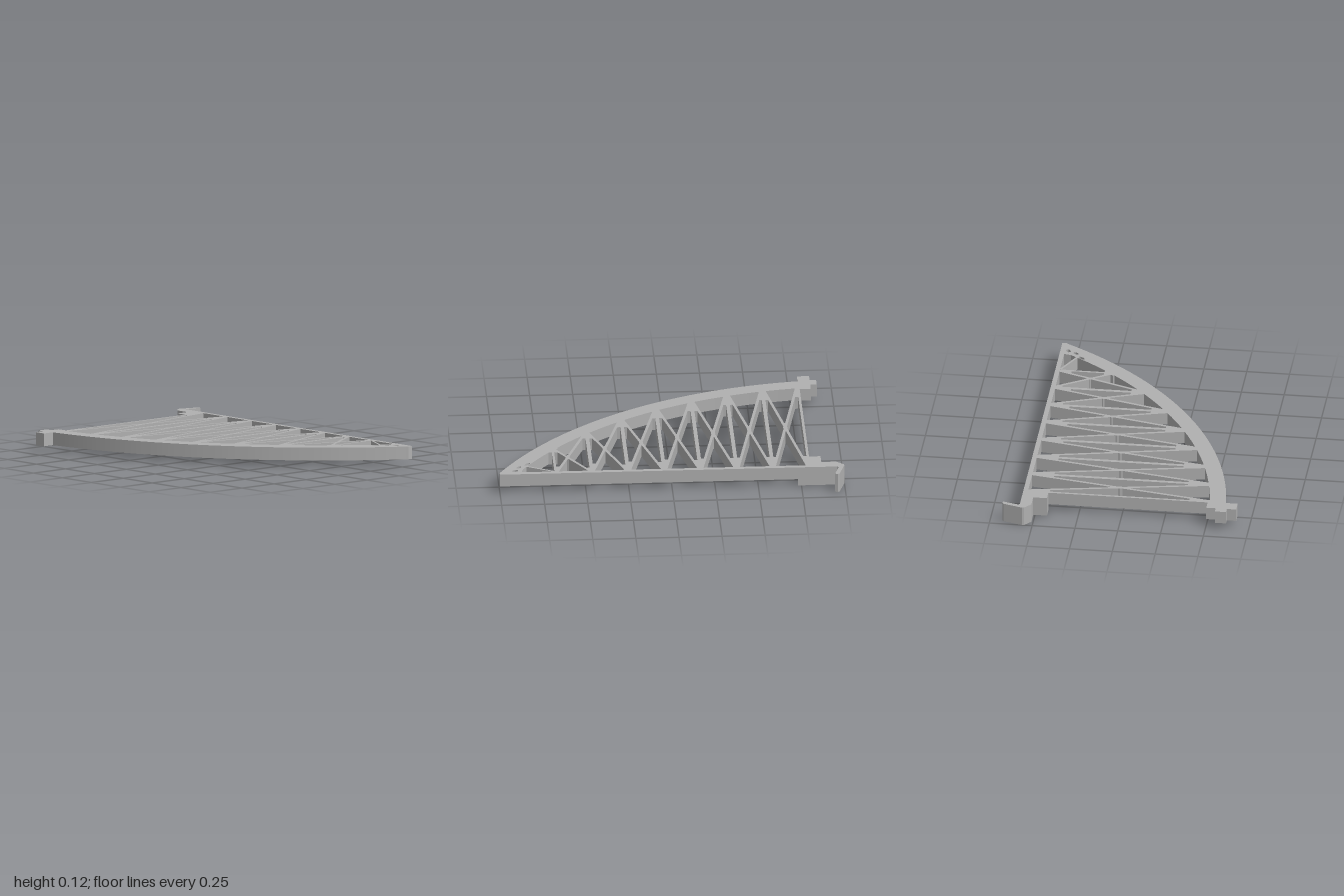
import * as THREE from 'three';

const BASE = 0.04, TOP = 0.115;      // height range of the truss
const ZBAR = -0.553;                 // inner edge of the straight bar
const ARC = { x: -1.024, z: -1.715, r: 2.333 };
const BAND = 0.095;                  // thickness of the curved chord

export function createModel() {
  const model = new THREE.Group();
  const grey = new THREE.MeshStandardMaterial({ color: 0xb0b0b0 });
  grey.name = 'grey';

  const arcZ = (x, r) => ARC.z + Math.sqrt(r * r - (x - ARC.x) ** 2);
  const innerZ = (x) => arcZ(x, ARC.r - BAND);
  const toPlan = (pts) => pts.map(([x, z]) => new THREE.Vector2(x, -z));

  // Plate cut from a plan outline of [x, z] points
  function plate(name, pts, y0 = BASE, y1 = TOP, holes = []) {
    const shape = new THREE.Shape(toPlan(pts));
    for (const [x, z, a, b, turn] of holes) {
      const path = new THREE.Path();
      path.absellipse(x, -z, a, b, 0, Math.PI * 2, true, turn);
      shape.holes.push(path);
    }
    const geo = new THREE.ExtrudeGeometry(shape, { depth: y1 - y0, bevelEnabled: false, curveSegments: 6 });
    geo.rotateX(-Math.PI / 2);
    geo.translate(0, y0, 0);
    const mesh = new THREE.Mesh(geo, grey);
    mesh.name = name;
    model.add(mesh);
  }
  const block = (name, x0, x1, z0, z1, y0, y1) =>
    plate(name, [[x0, z0], [x1, z0], [x1, z1], [x0, z1]], y0, y1);

  // Straight strut of width w between two plan points
  function strut(name, [ax, az], [bx, bz], w) {
    const l = Math.hypot(bx - ax, bz - az);
    const nx = -(bz - az) / l * w / 2, nz = (bx - ax) / l * w / 2;
    plate(name, [[ax + nx, az + nz], [bx + nx, bz + nz], [bx - nx, bz - nz], [ax - nx, az - nz]]);
  }

  // Straight bar and curved chord
  block('straightBar', -0.97, 1, -0.577, -0.55);
  const chord = [];
  const N = 56;
  for (let i = 0; i <= N; i++) {
    const x = -0.8 + 1.79 * i / N;
    chord.push([x, arcZ(x, ARC.r)]);
  }
  chord.push([1, -0.553], [1, -0.577], [0.87, -0.577], [0.87, -0.55]);
  for (let i = 0; i <= 40; i++) {
    const x = 0.862 - 1.662 * i / 40;
    chord.push([x, Math.max(innerZ(x), -0.549)]);
  }
  plate('curvedChord', chord, BASE, TOP, [
    [0.91, -0.53, 0.018, 0.013, 0.5],
    [0.833, -0.443, 0.024, 0.010, 0.9],
    [0.885, -0.483, 0.018, 0.010, 0.9],
  ]);

  // Uprights
  const nodes = Array.from({ length: 8 }, (_, i) => -0.795 + 0.21 * i);
  nodes.forEach((x, i) => {
    const w = i === 0 ? 0.015 : i === 7 ? 0.014 : 0.022;
    block('upright', x - w / 2, x + w / 2, -0.56, innerZ(x) + 0.03);
  });

  // Crossed diagonals, with gussets where they meet the bar and chord
  const G = 0.01;
  const lerp = (a, b, t) => [a[0] + (b[0] - a[0]) * t, a[1] + (b[1] - a[1]) * t];
  for (let i = 0; i < 7; i++) {
    const xl = nodes[i] + G, xr = nodes[i + 1] - G;
    const tl = [xl, ZBAR], tr = [xr, ZBAR];
    const bl = [xl, innerZ(nodes[i]) + 0.01], br = [xr, innerZ(nodes[i + 1]) + 0.01];
    strut('diagonal', tl, br, 0.016);
    strut('diagonal', tr, bl, 0.016);
    const corners = [[tl, br, nodes[i]], [tr, bl, nodes[i + 1]], [bl, tr, nodes[i]], [br, tl, nodes[i + 1]]];
    for (const [a, b, nx] of corners) {
      const p = lerp(a, b, Math.min(0.14, 0.13 / Math.abs(b[1] - a[1])));
      plate('gusset', [[nx, a[1]], a, p, [nx, p[1]]]);
    }
    // Small diamond where the diagonals cross
    const hl = bl[1] - ZBAR, hr = br[1] - ZBAR;
    const t = hl / (hl + hr), c = lerp(tl, br, t);
    const h = 0.05 * (hl + hr) / 2 + 0.01;
    plate('crossing', [[c[0], c[1] - h], [c[0] + 0.013, c[1]], [c[0], c[1] + h], [c[0] - 0.013, c[1]]]);
  }

  // Thin brace and gusset near the pointed end
  strut('tipBrace', [0.685, -0.548], [0.85, -0.465], 0.012);
  plate('tipGusset', [[0.645, -0.235], [0.675, -0.29], [0.72, -0.29], [0.745, -0.32], [0.76, -0.25], [0.68, -0.17]]);

  // Hooked latch at the straight bar's end
  plate('latchHook', [
    [-1, -0.56], [-0.967, -0.672], [-0.955, -0.68], [-0.94, -0.675], [-0.966, -0.585], [-0.958, -0.577],
    [-0.79, -0.577], [-0.79, -0.51], [-0.955, -0.51], [-0.997, -0.548],
  ], 0, TOP);
  block('latchBlock', -0.869, -0.797, -0.512, -0.43, 0, TOP);
  block('latchFoot', -0.8, -0.73, -0.577, -0.55, 0, BASE);

  // Cross-shaped peg at the chord's end
  block('pegBody', -0.867, -0.796, 0.5, 0.675);
  block('pegTip', -0.905, -0.866, 0.555, 0.62);

  return model;
}
